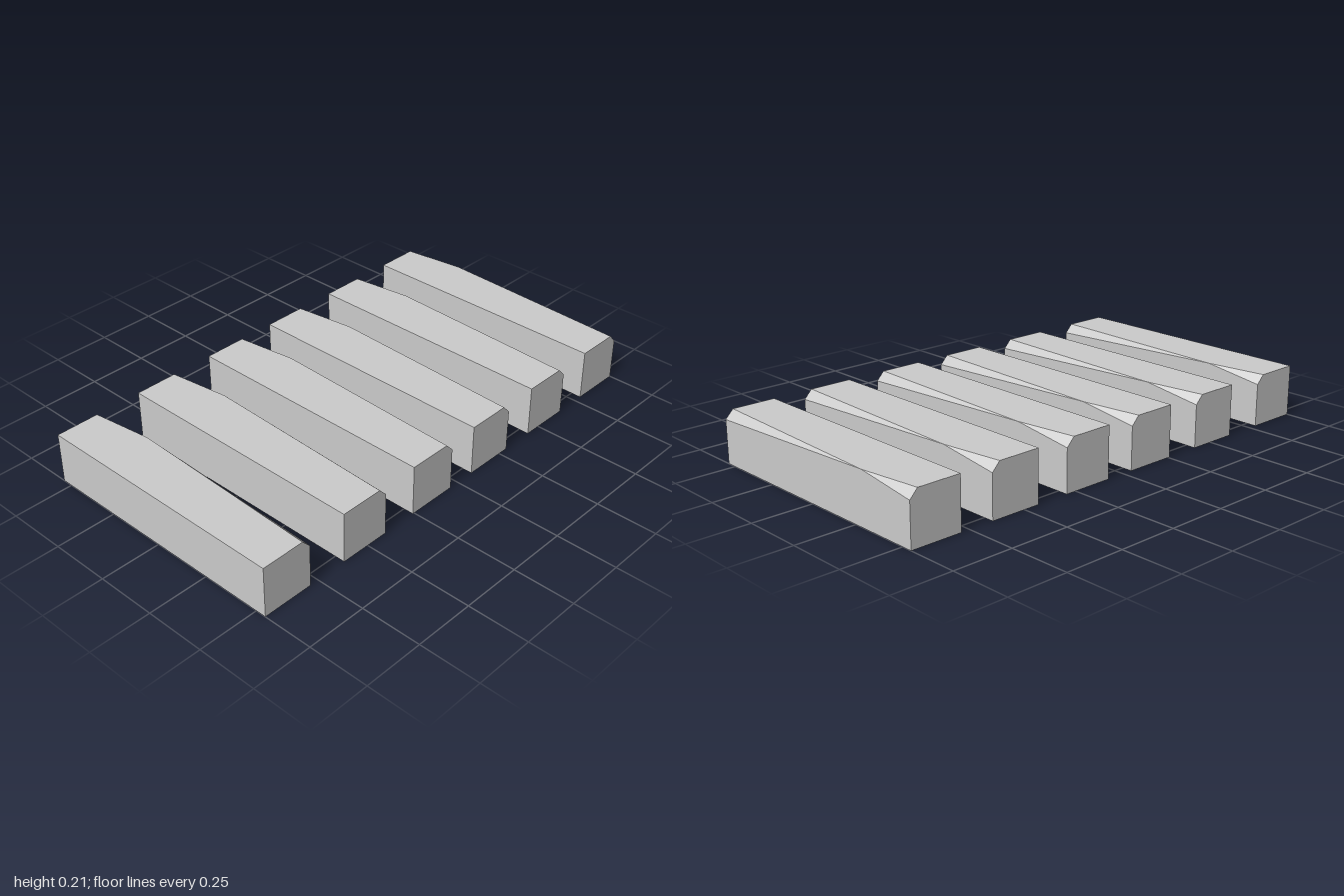
import * as THREE from 'three';
import { ConvexGeometry } from 'three/addons/geometries/ConvexGeometry.js';

const WIDTH = 0.214, HEIGHT = 0.21, HALF_LENGTH = 0.543;
const CUT_X = 0.033, CUT_Y = 0.035; // size of the corner cut at both ends
const PEAK_Z = -0.29;               // where the cut fades out to a sharp edge

// Square bar whose upper +x edge is shaved off towards both ends
function barGeometry() {
  const x = WIDTH / 2;
  const points = [new THREE.Vector3(x, HEIGHT, PEAK_Z)];
  for (const z of [-HALF_LENGTH, HALF_LENGTH]) {
    points.push(
      new THREE.Vector3(-x, 0, z),
      new THREE.Vector3(x, 0, z),
      new THREE.Vector3(x, HEIGHT - CUT_Y, z),
      new THREE.Vector3(x - CUT_X, HEIGHT, z),
      new THREE.Vector3(-x, HEIGHT, z)
    );
  }
  return new ConvexGeometry(points);
}

export function createModel() {
  const group = new THREE.Group();
  group.name = 'barRow';
  const geometry = barGeometry();
  const material = new THREE.MeshStandardMaterial({ color: 0xcccccc, flatShading: true });

  // Row of slightly unevenly spaced bars
  [-0.893, -0.513, -0.15, 0.187, 0.54, 0.893].forEach((x, i) => {
    const bar = new THREE.Mesh(geometry, material);
    bar.name = `bar${i + 1}`;
    bar.position.x = x;
    group.add(bar);
  });
  return group;
}
